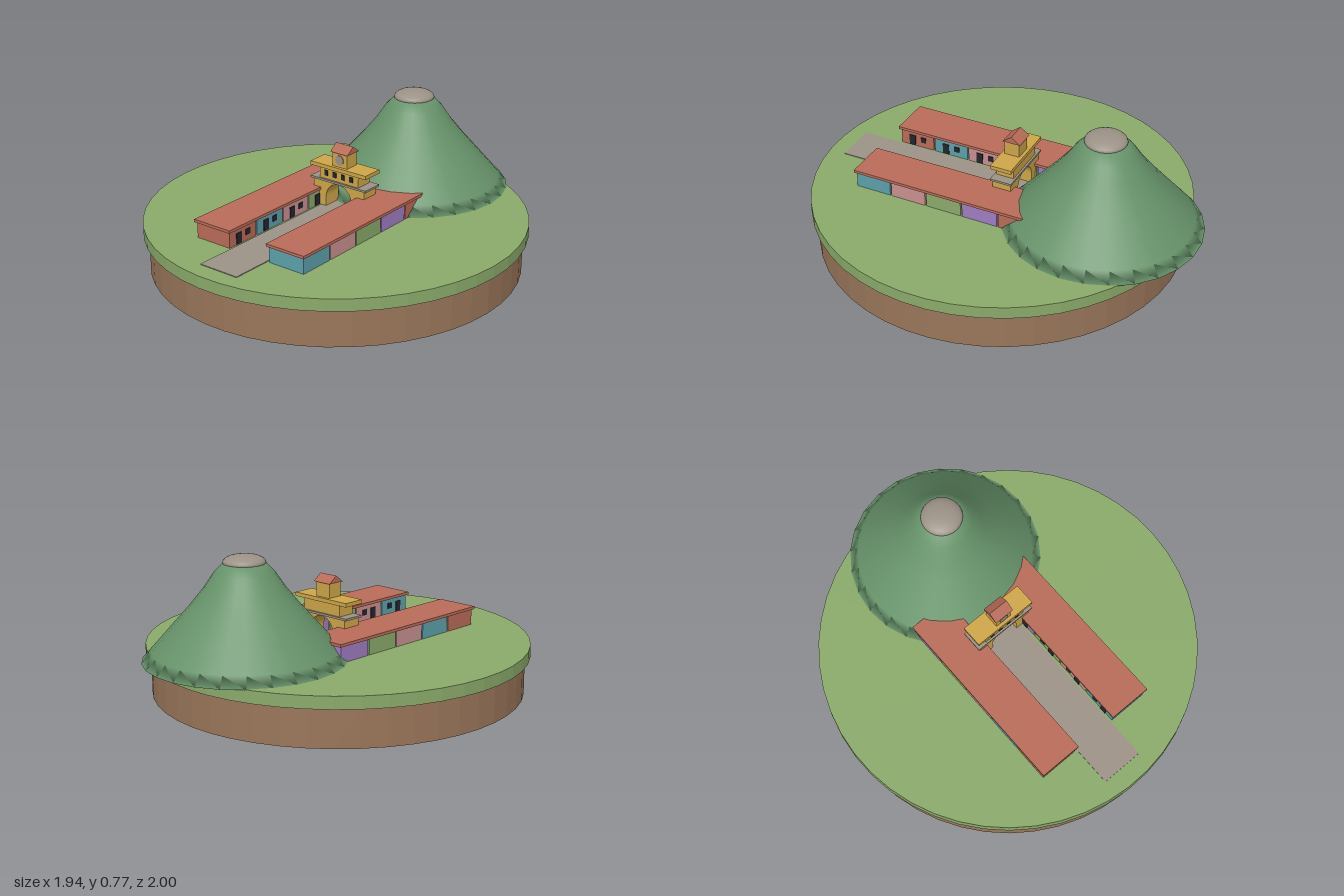
import * as THREE from 'three';

const mat = (name, color, flatShading = false) =>
  Object.assign(new THREE.MeshStandardMaterial({ color, flatShading }), { name });

export function createModel() {
  const soil = mat('soil brown', 0x9a765a, true);
  const grass = mat('grass green', 0x8aaa6a, true);
  const hillGreen = mat('hill green', 0x67936a);
  const stone = mat('stone grey', 0x9c9287);
  const red = mat('roof red', 0xb96b58);
  const teal = mat('teal', 0x5ba1ab);
  const pink = mat('pink', 0xc99090);
  const purple = mat('purple', 0xa07cc2);
  const yellow = mat('gold yellow', 0xcea648);
  const dark = mat('opening black', 0x24242c);

  const model = new THREE.Group();
  const add = (parent, name, geo, material, x = 0, y = 0, z = 0) => {
    const m = new THREE.Mesh(geo, material);
    m.name = name;
    m.position.set(x, y, z);
    parent.add(m);
    return m;
  };
  // box standing on height y
  const box = (parent, name, material, w, h, d, x, y, z) =>
    add(parent, name, new THREE.BoxGeometry(w, h, d), material, x, y + h / 2, z);

  // round base
  const GROUND = 0.258;
  add(model, 'soilBase', new THREE.CylinderGeometry(0.945, 0.945, 0.196, 48), soil, 0, 0.098, 0.025);
  add(model, 'grassDisc', new THREE.CylinderGeometry(0.972, 0.972, 0.063, 48), grass, 0, GROUND - 0.0315, 0.025);

  // hill with a closed underside and a domed stone summit
  const profile = [[0, 0.255], [0.502, 0.255], [0.455, 0.307], [0.365, 0.41], [0.27, 0.518],
    [0.2, 0.605], [0.148, 0.682], [0.1, 0.733], [0, 0.738]].map(p => new THREE.Vector2(...p));
  add(model, 'hill', new THREE.LatheGeometry(profile, 26), hillGreen, 0.257, 0, -0.498);
  const summit = add(model, 'summit', new THREE.SphereGeometry(0.105, 24, 12), stone, 0.257, 0.733, -0.498);
  summit.scale.y = 0.36;

  // turned street group
  const street = new THREE.Group();
  street.name = 'street';
  street.position.set(0.0225, GROUND, -0.045);
  street.rotation.y = -THREE.MathUtils.degToRad(20);
  model.add(street);
  box(street, 'road', stone, 0.225, 0.004, 1.05, 0, 0, 0.425);

  // two rows of houses, front to back
  const rows = [
    { name: 'rightRow', side: -1, colors: [red, teal, pink, grass, purple] },
    { name: 'leftRow', side: 1, colors: [teal, pink, grass, purple, red] },
  ];
  for (const { name, side, colors } of rows) {
    const row = new THREE.Group();
    row.name = name;
    street.add(row);
    const x = side * 0.2285;
    colors.forEach((c, i) => {
      const z = 0.638 - i * 0.2, inner = side * 0.1245;
      box(row, 'house', c, 0.208, 0.084, 0.192, x, 0, z);
      box(row, 'door', dark, 0.008, 0.058, 0.036, inner, 0.003, z + 0.03);
      box(row, 'window', dark, 0.008, 0.03, 0.03, inner, 0.03, z - 0.035);
    });
    box(row, 'rowRoof', red, 0.228, 0.015, 1.015, x, 0.083, 0.2375);
  }

  // gatehouse: arched lower storey
  const gate = new THREE.Group();
  gate.name = 'gatehouse';
  street.add(gate);
  const W = 0.16, R = 0.08, D = 0.1;
  const arch = new THREE.Shape();
  arch.moveTo(-W, 0);
  arch.lineTo(-R, 0);
  arch.lineTo(-R, 0.056);
  arch.absarc(0, 0.056, R, Math.PI, 0, true);
  arch.lineTo(R, 0);
  arch.lineTo(W, 0);
  arch.lineTo(W, 0.142);
  arch.lineTo(-W, 0.142);
  const archGeo = new THREE.ExtrudeGeometry(arch, { depth: D, bevelEnabled: false, curveSegments: 16 });
  add(gate, 'archway', archGeo, yellow, 0, 0, -D / 2);

  // balcony, upper storey and its roof slab
  box(gate, 'balcony', stone, 0.35, 0.011, 0.115, 0, 0.14, 0);
  box(gate, 'upperStorey', yellow, 0.245, 0.07, 0.094, 0, 0.148, 0);
  for (let i = 0; i < 4; i++)
    box(gate, 'upperWindow', dark, 0.021, 0.028, 0.008, (i - 1.5) * 0.053, 0.17, 0.048);
  box(gate, 'upperSlab', yellow, 0.35, 0.02, 0.115, 0, 0.21, 0);

  // clock turret with gabled roof
  box(gate, 'turret', yellow, 0.09, 0.08, 0.08, 0, 0.228, 0);
  const clock = add(gate, 'clockFace', new THREE.CylinderGeometry(0.025, 0.025, 0.008, 24), stone, 0, 0.268, 0.041);
  clock.rotation.x = Math.PI / 2;
  const gable = new THREE.Shape([[-0.048, 0], [0.048, 0], [0, 0.036]].map(p => new THREE.Vector2(...p)));
  const gableGeo = new THREE.ExtrudeGeometry(gable, { depth: 0.108, bevelEnabled: false });
  gableGeo.translate(0, 0, -0.054);
  add(gate, 'turretRoof', gableGeo, red, 0, 0.305, 0).rotation.y = Math.PI / 2;

  return model;
}
